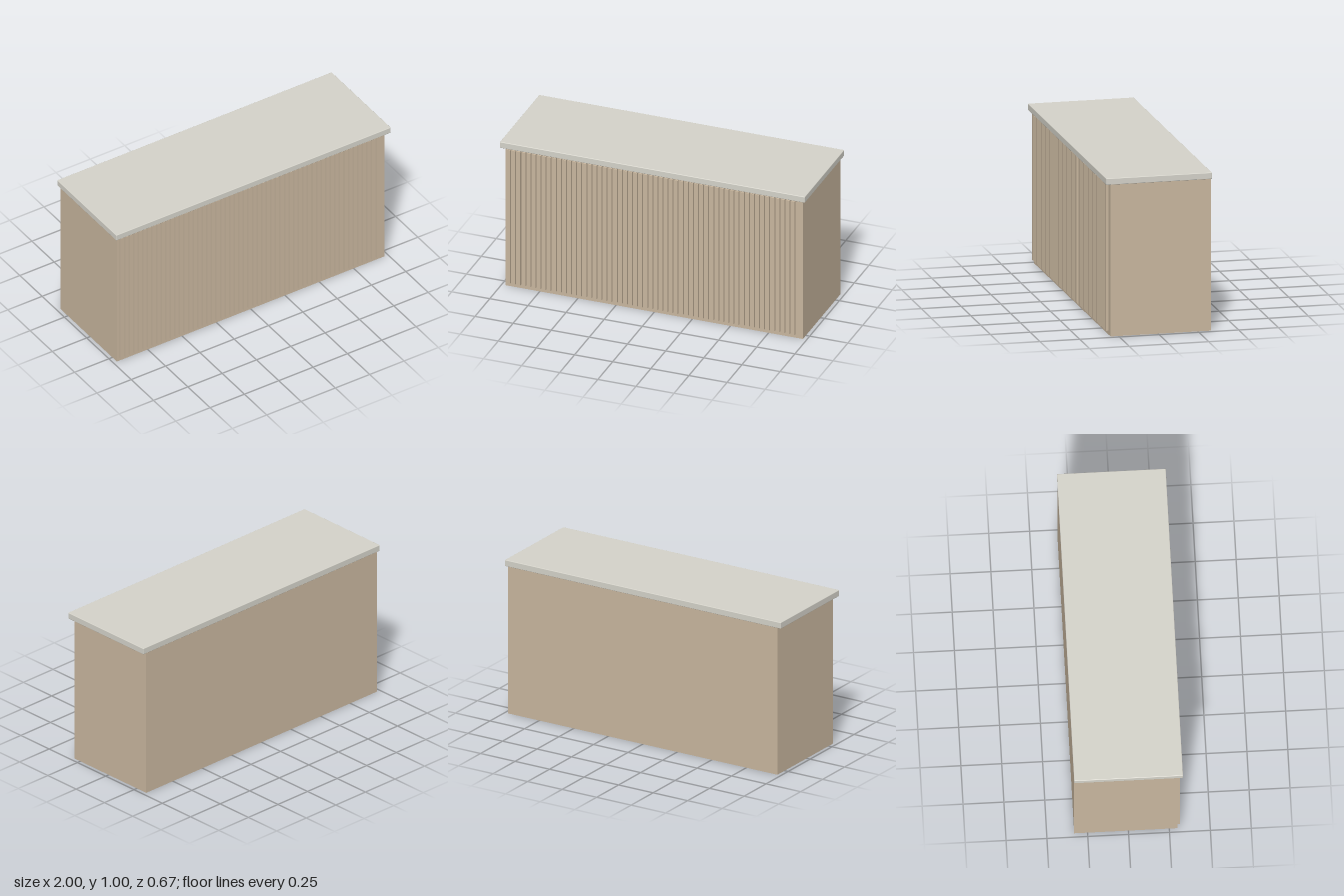
import * as THREE from 'three';
import { RoundedBoxGeometry } from 'three/addons/geometries/RoundedBoxGeometry.js';

export function createModel() {
  const group = new THREE.Group();
  group.name = 'counter';

  const wood = new THREE.MeshStandardMaterial({ color: 0xc8b69e });
  wood.name = 'pale wood';
  const stone = new THREE.MeshStandardMaterial({ color: 0xd4d2c9 });
  stone.name = 'light stone';

  function add(name, geometry, material, x, y, z) {
    const mesh = new THREE.Mesh(geometry, material);
    mesh.name = name;
    mesh.position.set(x, y, z);
    group.add(mesh);
  }

  // Solid cabinet, flush with the worktop at the back
  const back = -0.332, front = 0.3;
  add('body', new THREE.BoxGeometry(1.95, 0.96, front - back), wood, 0, 0.48, (front + back) / 2);

  // Worktop with slightly eased edges
  add('worktop', new RoundedBoxGeometry(2, 0.041, 0.666, 2, 0.004), stone, 0, 0.9795, 0);

  // Evenly spaced vertical slats on the front
  const slatCount = 57, pitch = 0.0333, slatWidth = 0.02;
  const slat = new THREE.BoxGeometry(slatWidth, 0.92, 0.018);
  for (let i = 0; i < slatCount; i++) {
    add('slat', slat, wood, -0.948 + i * pitch, 0.485, front + 0.008);
  }

  return group;
}
